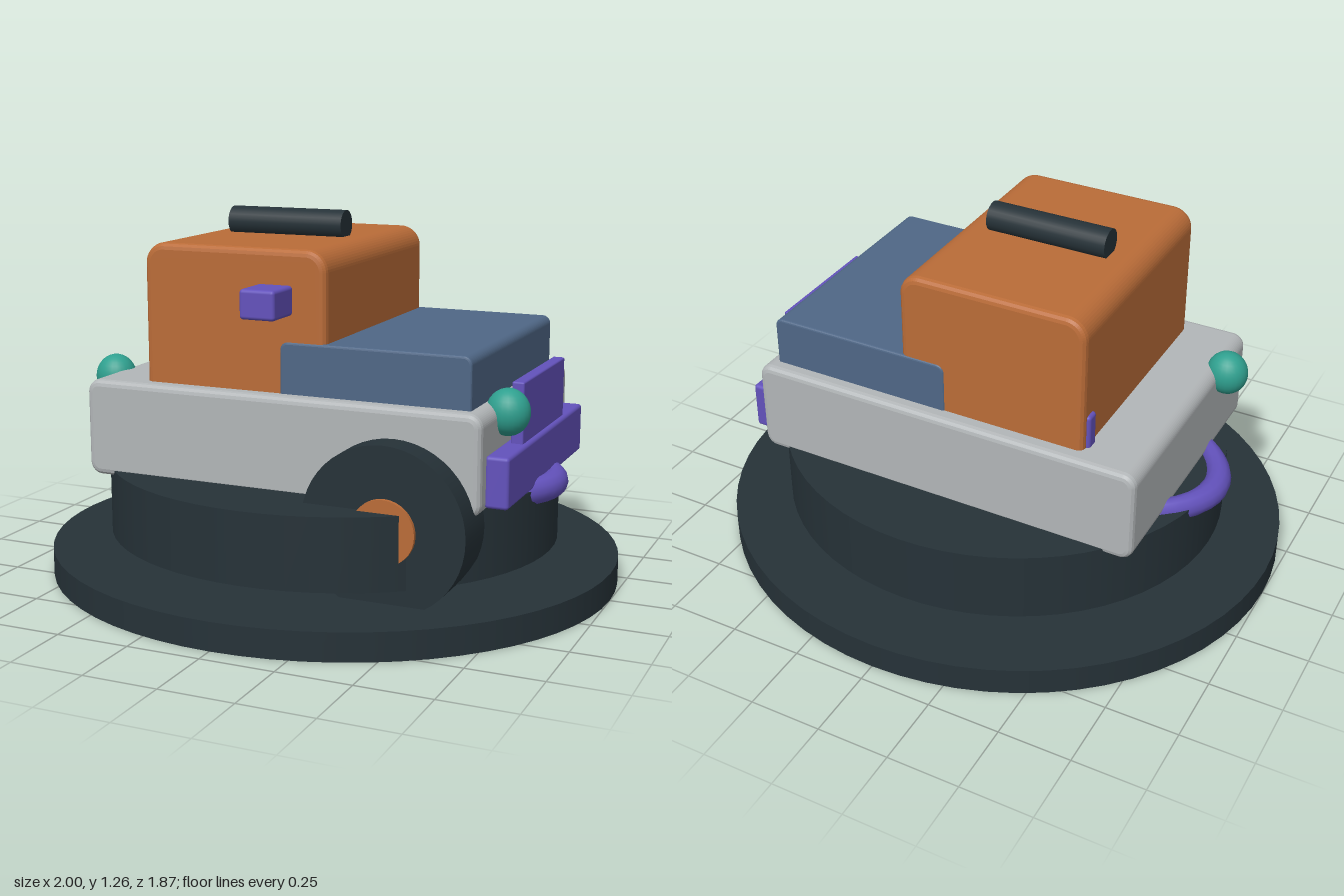
import * as THREE from 'three';
import { RoundedBoxGeometry } from 'three/addons/geometries/RoundedBoxGeometry.js';

const mat = (name, color) => {
  const m = new THREE.MeshStandardMaterial({ color });
  m.name = name;
  return m;
};

export function createModel() {
  const group = new THREE.Group();
  const dark = mat('charcoal', 0x263238);
  const orange = mat('orange', 0xba6c38);
  const grey = mat('light grey', 0xb2b6b8);
  const blue = mat('slate blue', 0x4f6786);
  const purple = mat('purple', 0x6352bc);
  const teal = mat('teal', 0x2fa08f);

  const add = (name, geometry, material, x = 0, y = 0, z = 0) => {
    const mesh = new THREE.Mesh(geometry, material);
    mesh.name = name;
    mesh.position.set(x, y, z);
    group.add(mesh);
    return mesh;
  };

  // Rounded box given by its limits
  const box = (name, material, [x0, x1], [y0, y1], [z0, z1], r) =>
    add(name, new RoundedBoxGeometry(x1 - x0, y1 - y0, z1 - z0, 3, r), material,
      (x0 + x1) / 2, (y0 + y1) / 2, (z0 + z1) / 2);

  // Block with a rounded side profile, extruded along z with a small bevel
  const block = (name, material, [x0, x1], [y0, y1], halfZ, r, bevel) => {
    const w = (x1 - x0) / 2 - bevel, h = (y1 - y0) / 2 - bevel, c = r - bevel;
    const s = new THREE.Shape();
    s.absarc(w - c, h - c, c, 0, Math.PI / 2);
    s.absarc(-w + c, h - c, c, Math.PI / 2, Math.PI);
    s.absarc(-w + c, -h + c, c, Math.PI, Math.PI * 1.5);
    s.absarc(w - c, -h + c, c, Math.PI * 1.5, Math.PI * 2);
    const depth = 2 * (halfZ - bevel);
    const g = new THREE.ExtrudeGeometry(s, {
      depth, curveSegments: 6, bevelEnabled: true,
      bevelThickness: bevel, bevelSize: bevel, bevelSegments: 3,
    });
    g.translate(0, 0, -depth / 2);
    return add(name, g, material, (x0 + x1) / 2, (y0 + y1) / 2, 0);
  };

  // Oval stand: wide plate and a floating drum above it
  const disc = (name, rx, rz, y0, y1) =>
    add(name, new THREE.CylinderGeometry(1, 1, y1 - y0, 64).scale(rx, 1, rz), dark, 0, (y0 + y1) / 2, 0);
  disc('basePlate', 1, 0.936, 0, 0.095);
  disc('baseDrum', 0.79, 0.742, 0.147, 0.39);

  // Body, cabin and hood
  block('body', grey, [-0.7, 0.7], [0.37, 0.7], 0.482, 0.045, 0.022);
  block('cabin', orange, [-0.495, 0.16], [0.6, 1.167], 0.427, 0.07, 0.022);
  block('hood', blue, [0, 0.65], [0.6, 0.87], 0.431, 0.028, 0.008);

  // Single front wheel with its hub
  add('wheel', new THREE.CylinderGeometry(0.274, 0.274, 0.18, 48).rotateX(Math.PI / 2), dark, 0.415, 0.328, 0.486);
  add('wheelHub', new THREE.CylinderGeometry(0.106, 0.106, 0.19, 32).rotateX(Math.PI / 2), orange, 0.422, 0.328, 0.495);

  // Roof roll
  add('roofRoll', new THREE.CylinderGeometry(0.05, 0.05, 0.425, 24).rotateZ(Math.PI / 2), dark, -0.165, 1.206, 0);

  // Bumper, grille, mirror and rear tab
  box('bumper', purple, [0.695, 0.773], [0.395, 0.562], [-0.427, 0.427], 0.012);
  box('grille', purple, [0.717, 0.758], [0.45, 0.762], [-0.234, 0.234], 0.006);
  box('mirror', purple, [-0.062, 0.06], [0.962, 1.058], [0.452, 0.594], 0.012);
  box('rearTab', purple, [-0.507, -0.45], [0.66, 0.815], [-0.4, -0.35], 0.012);

  // Oval ring around the underside, showing at both ends
  add('ring', new THREE.TorusGeometry(0.795, 0.045, 12, 64).rotateX(Math.PI / 2).scale(1, 1, 0.5), purple, 0, 0.379, 0);

  // Lamps at both ends
  for (const side of [-1, 1]) {
    add(side > 0 ? 'leftLamp' : 'rightLamp', new THREE.SphereGeometry(1, 24, 16).scale(0.072, 0.077, 0.066),
      teal, side * 0.716, 0.67, 0.262);
  }
  return group;
}
